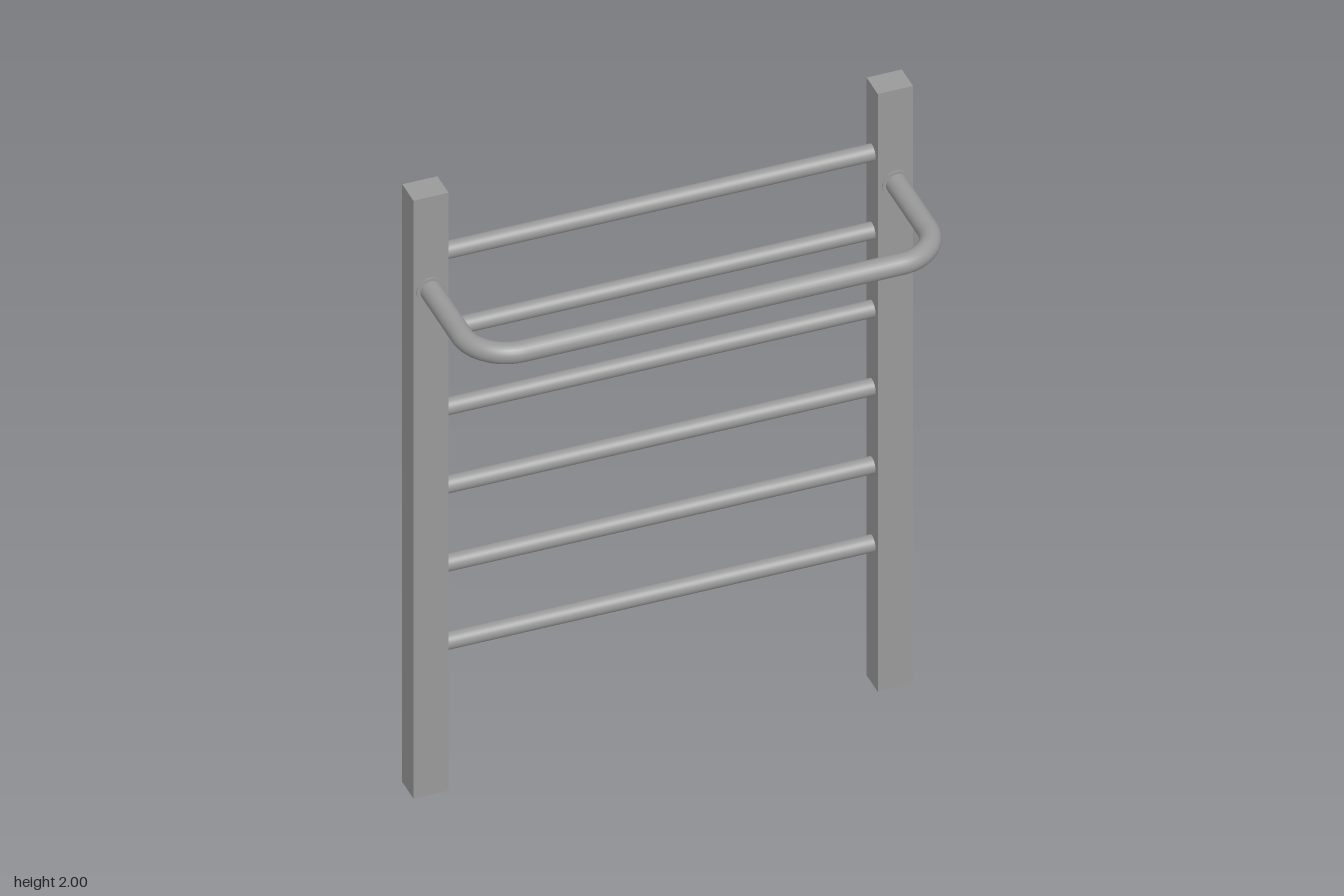
import * as THREE from 'three';

const POST_X = 0.679, POST_Z = -0.196, POST_W = 0.103, POST_D = 0.083;
const RAIL_X = 0.681, RAIL_Y = 1.689, RAIL_Z = 0.203, RAIL_R = 0.031, BEND = 0.128;

export function createModel() {
  const group = new THREE.Group();
  const material = new THREE.MeshStandardMaterial({ color: 0x999999 });
  const add = (name, geometry, x = 0, y = 0, z = 0) => {
    const mesh = new THREE.Mesh(geometry, material);
    mesh.name = name;
    mesh.position.set(x, y, z);
    group.add(mesh);
  };
  const postFront = POST_Z + POST_D / 2;

  // Square uprights, each with a thin round flange where the rail meets it
  const flange = new THREE.CylinderGeometry(0.041, 0.041, 0.004, 32).rotateX(Math.PI / 2);
  for (const [side, s] of [['left', 1], ['right', -1]]) {
    add(side + 'Post', new THREE.BoxGeometry(POST_W, 2, POST_D), s * POST_X, 1, POST_Z);
    add(side + 'Flange', flange, s * RAIL_X, RAIL_Y, postFront + 0.002);
  }

  // Six evenly spaced round rungs
  const rung = new THREE.CylinderGeometry(0.025, 0.025, 2 * POST_X - POST_W + 0.01, 32).rotateZ(Math.PI / 2);
  for (let i = 0; i < 6; i++) add('rung' + (i + 1), rung, 0, 0.47 + i * 0.2616, POST_Z);

  // Projecting towel rail: two arms, two rounded corners and a front bar
  const v = (x, z) => new THREE.Vector3(x, RAIL_Y, z);
  const k = BEND * (1 - 0.5523); // handle offset for a circular corner
  const inX = RAIL_X - BEND, inZ = RAIL_Z - BEND;
  const path = new THREE.CurvePath();
  path.add(new THREE.LineCurve3(v(-RAIL_X, postFront - 0.01), v(-RAIL_X, inZ)));
  path.add(new THREE.CubicBezierCurve3(v(-RAIL_X, inZ), v(-RAIL_X, RAIL_Z - k), v(-RAIL_X + k, RAIL_Z), v(-inX, RAIL_Z)));
  path.add(new THREE.LineCurve3(v(-inX, RAIL_Z), v(inX, RAIL_Z)));
  path.add(new THREE.CubicBezierCurve3(v(inX, RAIL_Z), v(RAIL_X - k, RAIL_Z), v(RAIL_X, RAIL_Z - k), v(RAIL_X, inZ)));
  path.add(new THREE.LineCurve3(v(RAIL_X, inZ), v(RAIL_X, postFront - 0.01)));
  add('towelRail', new THREE.TubeGeometry(path, 160, RAIL_R, 24, false));

  return group;
}
